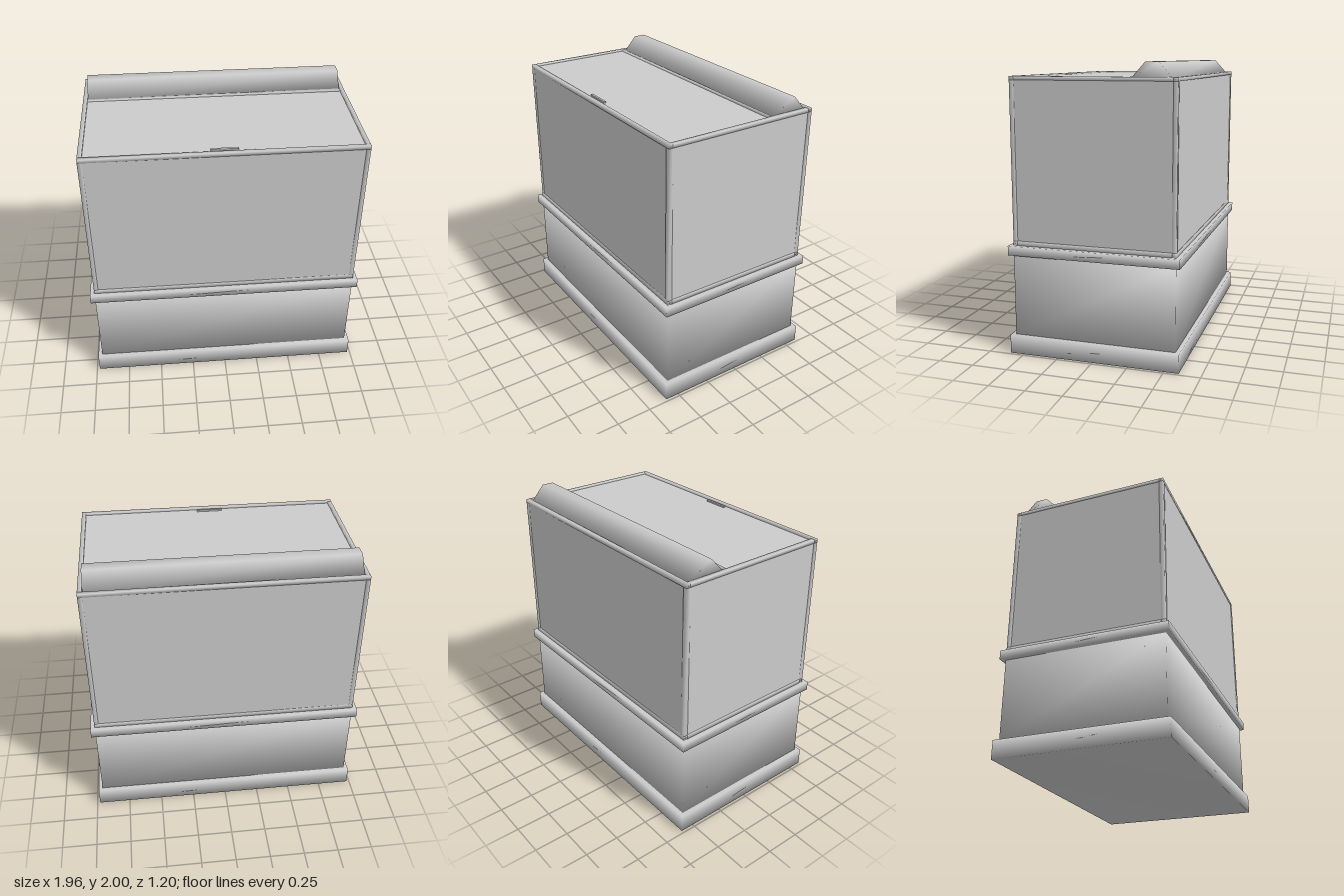
import * as THREE from 'three';
import { mergeVertices } from 'three/addons/utils/BufferGeometryUtils.js';

const material = new THREE.MeshStandardMaterial({ color: 0xcccccc });

// Weld the corners so the shading runs smoothly round the edges
function soften(geometry) {
  geometry.deleteAttribute('normal');
  geometry.deleteAttribute('uv');
  const welded = mergeVertices(geometry);
  welded.computeVertexNormals();
  return welded;
}

// Box given by its ranges on x, y and z
function box(name, [x0, x1], [y0, y1], [z0, z1], soft = false) {
  let geometry = new THREE.BoxGeometry(x1 - x0, y1 - y0, z1 - z0);
  if (soft) geometry = soften(geometry);
  const mesh = new THREE.Mesh(geometry, material);
  mesh.name = name;
  mesh.position.set((x0 + x1) / 2, (y0 + y1) / 2, (z0 + z1) / 2);
  return mesh;
}

// Range of a strip on the positive or negative side
const side = (s, inner, outer) => (s > 0 ? [inner, outer] : [-outer, -inner]);

export function createModel() {
  const model = new THREE.Group();
  model.name = 'tankOnStand';

  const W = 0.95, D = 0.57;    // half width and depth of tank and cabinet
  const w = 0.92, d = 0.54;    // inside the frame
  const low = 0.765, top = 1.905;

  // Stand: plinth, cabinet and overhanging top board
  const stand = new THREE.Group();
  stand.name = 'stand';
  stand.add(
    box('plinth', [-0.98, 0.98], [0, 0.13], [-0.6, 0.6], true),
    box('cabinet', [-W, W], [0.13, 0.7], [-D, D], true),
    box('topBoard', [-0.98, 0.98], [0.7, low], [-0.6, 0.6], true)
  );

  // Tank frame: a lower and an upper rim joined by corner posts
  const frame = new THREE.Group();
  frame.name = 'frame';
  for (const [name, y] of [['lowerRim', [low, 0.797]], ['upperRim', [1.88, top]]]) {
    for (const s of [-1, 1]) {
      frame.add(
        box(name, [-W, W], y, side(s, d, D), true),
        box(name, side(s, w, W), y, [-d, d], true)
      );
    }
  }
  for (const sx of [-1, 1]) {
    for (const sz of [-1, 1]) {
      frame.add(box('cornerPost', side(sx, w, W), [0.797, 1.88], side(sz, d, D), true));
    }
  }

  // Glass panes, set back a hair from the frame
  const glass = new THREE.Group();
  glass.name = 'glass';
  for (const s of [-1, 1]) {
    glass.add(
      box('longPane', [-w, w], [0.797, 1.88], side(s, d, D - 0.004)),
      box('endPane', side(s, w, W - 0.004), [0.797, 1.88], [-d, d])
    );
  }
  glass.add(box('tankFloor', [-w, w], [low, 0.785], [-d, d]));

  // Cover: front lid with its grip, cross bar and rear plate
  const cover = new THREE.Group();
  cover.name = 'cover';
  cover.add(
    box('lid', [-w, w], [1.875, 1.893], [-0.225, 0.535]),
    box('lidGrip', [-0.095, 0.09], [1.893, 1.905], [0.502, 0.518]),
    box('crossBar', [-w, w], [1.875, 1.903], [-0.25, -0.226], true),
    box('rearPlate', [-w, w], [1.875, 1.89], [-d, -0.25])
  );

  // Lamp hood: a long box with its top narrowed
  const hoodShape = new THREE.BoxGeometry(2 * (w - 0.002), 0.11, 0.286);
  const p = hoodShape.attributes.position;
  for (let i = 0; i < p.count; i++) {
    if (p.getY(i) > 0) p.setZ(i, p.getZ(i) * 0.3);
  }
  const hood = new THREE.Mesh(soften(hoodShape), material);
  hood.name = 'lampHood';
  hood.position.set(0, 1.945, -0.394);

  model.add(stand, frame, glass, cover, hood);
  return model;
}
